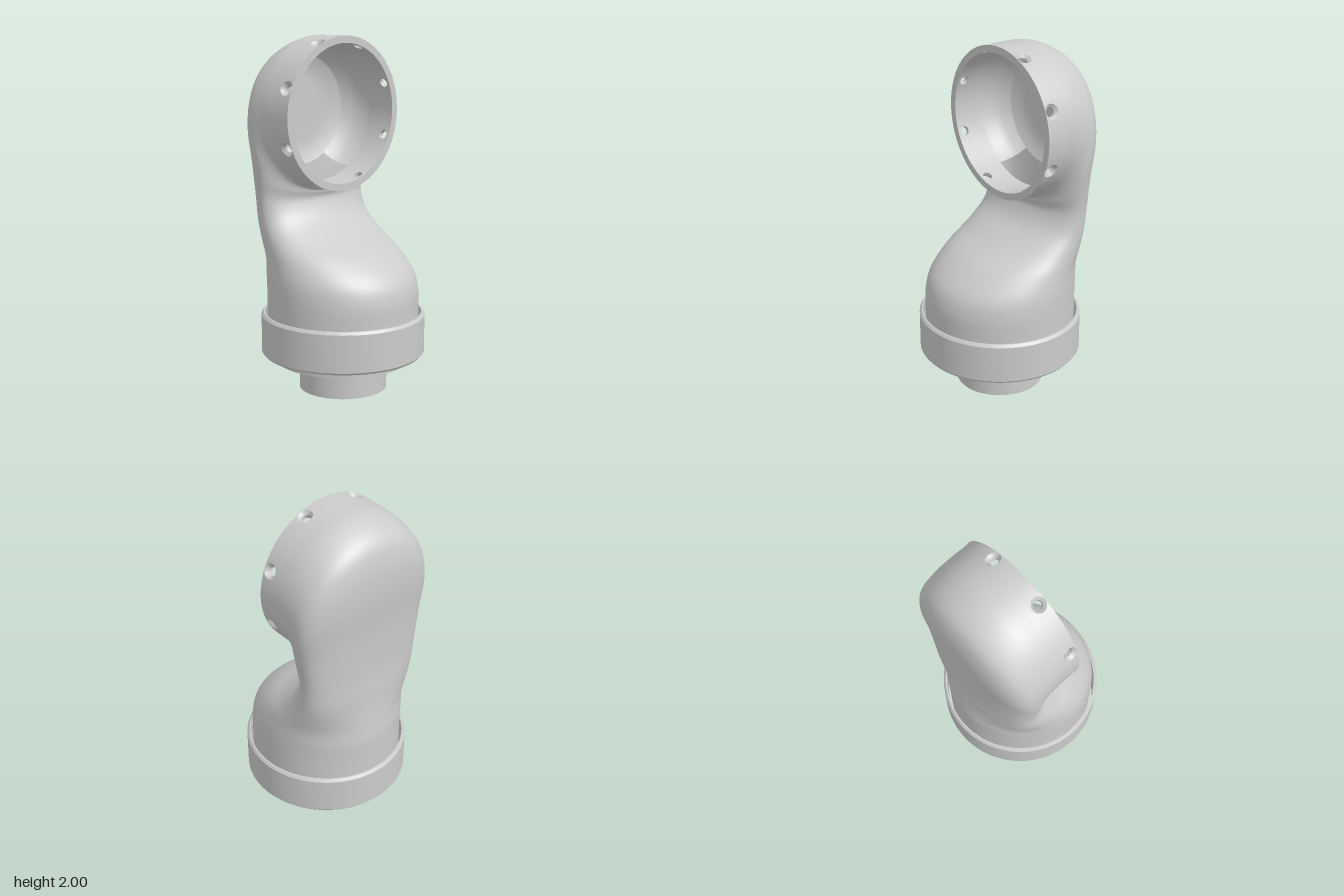
import * as THREE from 'three';
import { toCreasedNormals } from 'three/addons/utils/BufferGeometryUtils.js';

const SEG = 96;
const CUP_Y = 1.57, CUP_R = 0.43, BORE_R = 0.39;
const RIM_X = 0.013, BAND_X = -0.085, HOLE_X = -0.03;

const material = new THREE.MeshStandardMaterial({ color: 0xcccccc, side: THREE.DoubleSide });

// Smooth normals with sharp edges (scaled up so close vertices stay distinct)
function crease(geometry, angle = 0.6) {
  geometry.scale(100, 100, 100);
  return toCreasedNormals(geometry, angle).scale(0.01, 0.01, 0.01);
}

function addMesh(parent, name, geometry) {
  const mesh = new THREE.Mesh(geometry, material);
  mesh.name = name;
  parent.add(mesh);
  return mesh;
}

// Surface from a grid of points, rows i and columns j
function gridSurface(rows, cols, pointAt) {
  const positions = [], index = [];
  for (let i = 0; i <= rows; i++)
    for (let j = 0; j <= cols; j++) positions.push(...pointAt(i, j));
  for (let i = 0; i < rows; i++)
    for (let j = 0; j < cols; j++) {
      const a = i * (cols + 1) + j, b = a + cols + 1;
      index.push(a, b, b + 1, a, b + 1, a + 1);
    }
  const g = new THREE.BufferGeometry();
  g.setAttribute('position', new THREE.Float32BufferAttribute(positions, 3));
  g.setIndex(index);
  return g;
}

function lathe(profile, start = 0, length = Math.PI * 2) {
  const points = profile.map(([r, y]) => new THREE.Vector2(r, y));
  return new THREE.LatheGeometry(points, SEG, start, length);
}

// Elbow housing: sections tilt from the round base to the upright cup.
// Each row: front x, y; back x, y; half width; squareness of the back half
function elbowGeometry() {
  const sections = [
    [0.43, 0.44, -0.43, 0.44, 0.43, 2],
    [0.425, 0.58, -0.43, 0.58, 0.43, 2],
    [0.38, 0.69, -0.43, 0.66, 0.425, 2],
    [0.25, 0.80, -0.42, 0.76, 0.41, 2],
    [0.08, 0.89, -0.41, 0.86, 0.395, 2.2],
    [-0.06, 0.985, -0.405, 0.97, 0.385, 2.4],
    [-0.12, 1.08, -0.40, 1.13, 0.385, 2.6],
    [-0.115, 1.125, -0.41, 1.38, 0.405, 2.6],
    [-0.11, 1.138, -0.43, 1.62, 0.425, 2.5],
    [-0.10, 1.14, -0.42, 1.80, 0.43, 2.3],
    [-0.09, 1.14, -0.37, 1.92, 0.43, 2.1],
    [-0.085, 1.14, -0.24, 1.99, 0.43, 2],
    [BAND_X, 1.14, BAND_X, 2.0, 0.43, 2],
  ];
  const curve = (k, m) => new THREE.CatmullRomCurve3(
    sections.map(s => new THREE.Vector3(s[k], s[k + 1], s[m])), false, 'catmullrom', 0.5);
  const front = curve(0, 4), back = curve(2, 5);
  const rows = 96;
  return gridSurface(rows, SEG, (i, j) => {
    const f = front.getPoint(i / rows), b = back.getPoint(i / rows);
    const angle = ((j % SEG) / SEG) * Math.PI * 2;
    const c = Math.cos(angle), s = Math.sin(angle);
    const e = c < 0 ? 2 / b.z : 1;
    const u = Math.sign(c) * Math.abs(c) ** e;
    const z = f.z * Math.sign(s) * Math.abs(s) ** e;
    return [(f.x + b.x) / 2 + (f.x - b.x) / 2 * u, (f.y + b.y) / 2 + (f.y - b.y) / 2 * u, z];
  });
}

// One eighth of the rim wall, with a countersunk screw hole through it
function rimSectorGeometry(centerAngle) {
  const steps = 8, side = 12;
  // Each station: blend from the sector border (0) to the hole (1), hole radius, wall radius
  const stations = [];
  for (let i = 0; i <= steps; i++) stations.push([i / steps, 0.042, CUP_R]);
  stations.push([1, 0.026, 0.412], [1, 0.026, BORE_R]);
  for (let i = steps - 1; i >= 0; i--) stations.push([i / steps, 0.026, BORE_R]);
  const corners = [[1, -1], [1, 1], [-1, 1], [-1, -1]];
  return gridSurface(stations.length - 1, side * 4, (i, j) => {
    const [blend, holeR, wallR] = stations[i];
    const k = Math.floor(j / side) % 4, t = (j % side) / side;
    const p = corners[k], q = corners[(k + 1) % 4];
    const a = p[0] + (q[0] - p[0]) * t, b = p[1] + (q[1] - p[1]) * t;
    const len = Math.hypot(a, b);
    const borderX = (a > 0 ? RIM_X - HOLE_X : HOLE_X - BAND_X) * a;
    const x = HOLE_X + THREE.MathUtils.lerp(borderX, holeR * a / len, blend);
    const turn = THREE.MathUtils.lerp(b * Math.PI / 8, holeR * b / len / wallR, blend);
    const angle = centerAngle + turn;
    return [x, CUP_Y + wallR * Math.sin(angle), -wallR * Math.cos(angle)];
  });
}

export function createModel() {
  const model = new THREE.Group();
  model.name = 'elbowJoint';

  addMesh(model, 'elbowHousing', crease(elbowGeometry(), 1));

  // Rim of the upper opening with eight screw holes
  const rim = new THREE.Group();
  rim.name = 'openingRim';
  model.add(rim);
  for (let i = 0; i < 8; i++)
    addMesh(rim, 'rimSector', crease(rimSectorGeometry((i + 0.5) * Math.PI / 4), 0.5));
  const face = addMesh(rim, 'rimFace', new THREE.RingGeometry(BORE_R, CUP_R, SEG));
  face.rotation.y = Math.PI / 2;
  face.position.set(RIM_X, CUP_Y, 0);

  // Rounded bore, with a cable passage cut in its underside
  const bore = new THREE.Group();
  bore.name = 'bore';
  bore.rotation.z = -Math.PI / 2;
  bore.position.y = CUP_Y;
  model.add(bore);
  const gap = 0.57;
  addMesh(bore, 'boreWall', lathe([[BORE_R, BAND_X], [BORE_R, -0.17]]));
  addMesh(bore, 'boreShoulder', lathe(
    [[BORE_R, -0.17], [0.386, -0.21], [0.375, -0.25], [0.355, -0.29], [0.315, -0.33]],
    Math.PI / 2 + gap, Math.PI * 2 - gap * 2));
  addMesh(bore, 'boreFloor', lathe(
    [[0.315, -0.33], [0.27, -0.352], [0.22, -0.363], [0.18, -0.365], [0, -0.365]]));

  // Base collar, standing clear of the housing by a thin gap
  addMesh(model, 'collar', crease(lathe([
    [0.445, 0.21], [0.455, 0.21], [0.465, 0.222], [0.465, 0.435],
    [0.453, 0.45], [0.445, 0.45], [0.445, 0.21],
  ])));

  // Stepped flange and output shaft
  addMesh(model, 'flangeAndShaft', crease(lathe([
    [0, 0], [0.25, 0], [0.25, 0.16], [0.30, 0.16], [0.30, 0.17],
    [0.39, 0.17], [0.39, 0.23], [0.43, 0.23], [0.43, 0.44],
  ])));

  return model;
}
